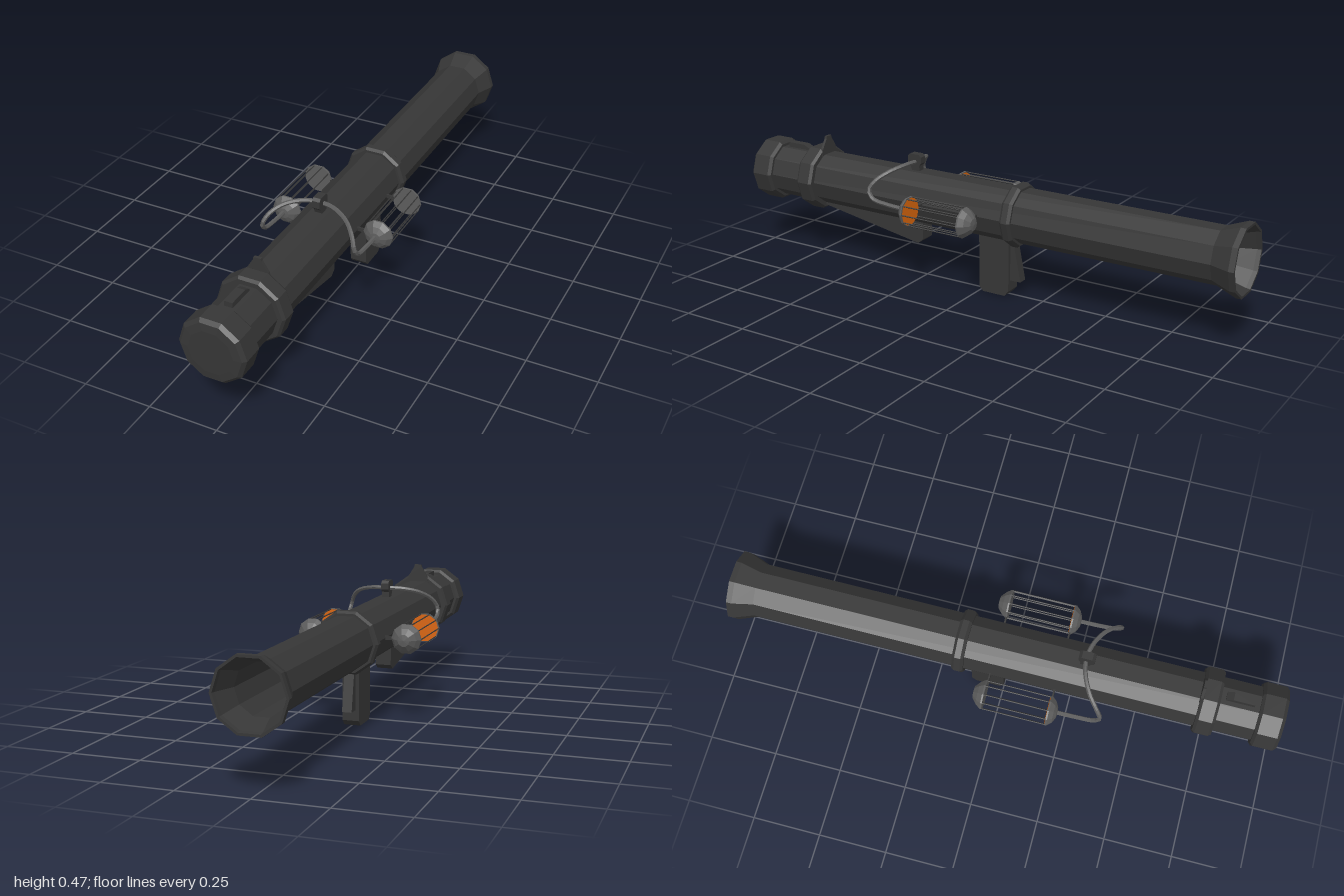
import * as THREE from 'three';

const AXIS = 0.31; // height of the barrel axis

const paint = (color, side = THREE.FrontSide) =>
  new THREE.MeshStandardMaterial({ color, side, flatShading: true });

export function createModel() {
  const model = new THREE.Group();
  const dark = paint(0x363636);
  const steel = paint(0x5c5c5c);
  const orange = paint(0xd8650c, THREE.DoubleSide);

  const add = (name, geometry, material, parent = model) => {
    const mesh = new THREE.Mesh(geometry, material);
    mesh.name = name;
    parent.add(mesh);
    return mesh;
  };

  // Ten-sided turned part along z, from [radius, z] pairs running back to front
  const turned = (profile) => new THREE.LatheGeometry(
    profile.map(([r, z]) => new THREE.Vector2(r, z)), 10, Math.PI / 2).rotateX(Math.PI / 2);

  // Side outline in [z, y] pairs, extruded across x and centred
  const slab = (outline, width) => {
    const shape = new THREE.Shape(outline.map(([z, y]) => new THREE.Vector2(-z, y)));
    return new THREE.ExtrudeGeometry(shape, { depth: width, bevelEnabled: false })
      .translate(0, 0, -width / 2).rotateY(Math.PI / 2);
  };

  // Hollow barrel with flared rear
  add('barrel', turned([
    [0, 0.88], [0.088, 0.88], [0.088, -0.91], [0.115, -0.985], [0.118, -1],
    [0.127, -1], [0.127, -0.98], [0.1, -0.91], [0.1, 0.93], [0, 0.93],
  ]), dark).position.y = AXIS;

  // Front cap and the two collars
  add('frontCap', turned([
    [0.09, 0.905], [0.11, 0.905], [0.12, 0.915], [0.12, 0.985],
    [0.108, 0.997], [0.08, 1], [0, 1],
  ]), dark).position.y = AXIS;
  const collar = (name, back, front, r) => add(name, turned([
    [0.09, back], [r - 0.008, back], [r, back + 0.01],
    [r, front - 0.01], [r - 0.008, front], [0.09, front],
  ]), dark).position.y = AXIS;
  collar('frontCollar', 0.7, 0.768, 0.125);
  collar('middleCollar', -0.172, -0.13, 0.117);

  // Latch and sight on top
  add('latch', slab([[0.885, 0.4], [0.885, 0.424], [0.81, 0.424], [0.785, 0.412], [0.785, 0.4]], 0.03), dark);
  const blade = new THREE.Shape([[-0.045, 0.4], [0.045, 0.4], [0.038, 0.428], [0.015, 0.465],
    [0.013, 0.474], [-0.013, 0.474], [-0.015, 0.465], [-0.038, 0.428]].map(p => new THREE.Vector2(...p)));
  add('sight', new THREE.ExtrudeGeometry(blade, { depth: 0.01, bevelEnabled: false })
    .translate(0, 0, 0.698), dark);

  // Underside: wedge, grip and trigger
  add('foreWedge', slab([[0.72, 0.23], [0.7, 0.205], [0.27, 0.13], [0.247, 0.148], [0.247, 0.23]], 0.06), dark);
  add('grip', slab([[0, 0.23], [0, 0.018], [-0.016, 0], [-0.106, 0], [-0.123, 0.02], [-0.123, 0.23]], 0.062), dark);
  add('gripBackPlate', slab([[-0.12, 0.22], [-0.12, 0.06], [-0.165, 0.06], [-0.138, 0.195], [-0.138, 0.22]], 0.036), dark);

  // Hose clamp
  add('hoseClamp', slab([[0.27, 0.4], [0.27, 0.425], [0.262, 0.435], [0.262, 0.458], [0.272, 0.467],
    [0.31, 0.467], [0.32, 0.458], [0.32, 0.432], [0.308, 0.42], [0.3, 0.4]], 0.028), dark);

  // Caged canisters on both sides
  for (const side of [-1, 1]) {
    const canister = new THREE.Group();
    canister.name = side > 0 ? 'leftCanister' : 'rightCanister';
    canister.position.set(side * 0.177, AXIS, 0);
    model.add(canister);

    add('rearDome', turned([[0, -0.072], [0.022, -0.069], [0.042, -0.052],
      [0.055, -0.034], [0.055, -0.028], [0, -0.028]]), steel, canister);
    add('frontDome', turned([[0, 0.2], [0.055, 0.2], [0.055, 0.206],
      [0.04, 0.222], [0.02, 0.232], [0, 0.235]]), steel, canister);
    add('orangeDisc', new THREE.CircleGeometry(0.052, 10).translate(0, 0, 0.198), orange, canister);

    for (let i = 0; i < 10; i++) {
      const a = i * Math.PI / 5;
      add('cageRod', new THREE.CylinderGeometry(0.0025, 0.0025, 0.23, 4).rotateX(Math.PI / 2)
        .translate(0.052 * Math.cos(a), 0.052 * Math.sin(a), 0.086), dark, canister);
    }
    for (const z of [-0.031, 0.203]) {
      add('bracket', new THREE.BoxGeometry(0.04, 0.014, 0.006)
        .translate(-side * 0.068, 0, z), dark, canister);
    }
  }

  // Hose looping from one canister over the barrel to the other
  const half = [[0.177, 0.313, 0.22], [0.177, 0.317, 0.3], [0.177, 0.328, 0.362],
    [0.174, 0.355, 0.382], [0.158, 0.39, 0.365], [0.12, 0.42, 0.33], [0.06, 0.436, 0.299]];
  const path = [
    ...half.map(([x, y, z]) => new THREE.Vector3(-x, y, z)),
    new THREE.Vector3(0, 0.438, 0.288),
    ...half.slice().reverse().map(p => new THREE.Vector3(...p)),
  ];
  add('hose', new THREE.TubeGeometry(new THREE.CatmullRomCurve3(path), 48, 0.008, 6), steel);

  return model;
}
